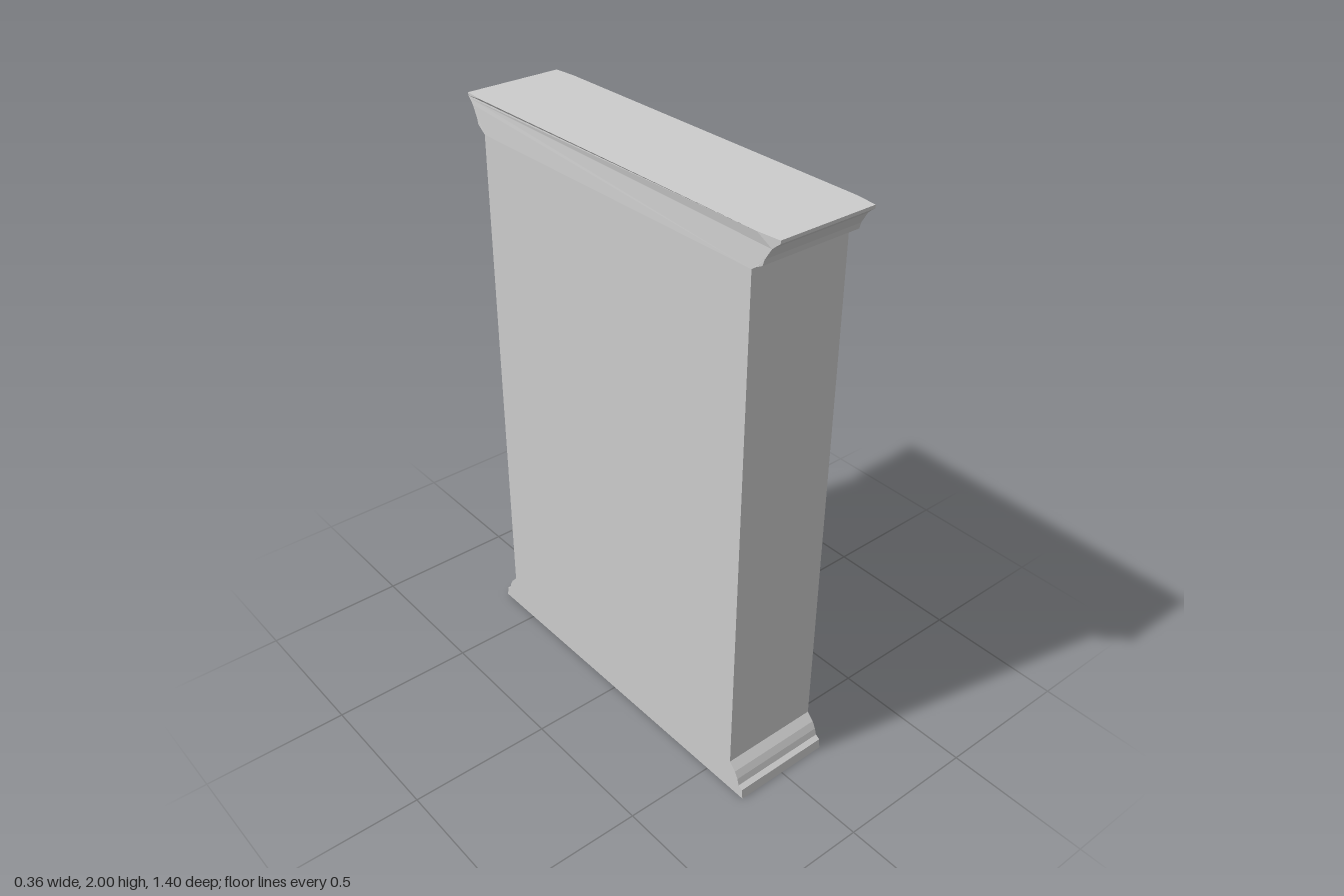
import * as THREE from 'three';
import { mergeGeometries } from 'three/addons/utils/BufferGeometryUtils.js';

const HALF = 0.178;        // half depth of the case, along x
const BACK = -0.10;        // inner face of the back panel
const OPEN = { z: 0.533, y0: 0.08, y1: 1.91 };

// Half profile from the floor up: base moulding, side, crown moulding
const PROFILE = [
  [0.672, 0], [0.668, 0.035], [0.652, 0.045], [0.645, 0.068], [0.632, 0.092], [0.607, 0.118],
  [0.607, 1.89], [0.62, 1.9], [0.644, 1.912], [0.65, 1.932], [0.664, 1.955], [0.672, 1.968],
  [0.69, 1.984], [0.698, 1.99], [0.698, 2], [0.62, 2],
];

// Band of quads along a closed loop, from depth w0 to w1
function wall(loop, w0, w1) {
  const pos = [];
  loop.forEach((a, i) => {
    const b = loop[(i + 1) % loop.length];
    pos.push(a.x, a.y, w0, b.x, b.y, w0, b.x, b.y, w1);
    pos.push(a.x, a.y, w0, b.x, b.y, w1, a.x, a.y, w1);
  });
  const g = new THREE.BufferGeometry();
  g.setAttribute('position', new THREE.Float32BufferAttribute(pos, 3));
  return g;
}

// Keep positions only, so that all pieces can be merged with flat normals
function bare(geometry) {
  const g = geometry.index ? geometry.toNonIndexed() : geometry;
  g.deleteAttribute('uv');
  g.deleteAttribute('normal');
  return g;
}

function caseGeometry() {
  const right = PROFILE.map(([u, y]) => new THREE.Vector2(u, y));
  const left = PROFILE.map(([u, y]) => new THREE.Vector2(-u, y)).reverse();
  const outline = [...right, ...left];
  const { z, y0, y1 } = OPEN;
  const hole = [[-z, y0], [-z, y1], [z, y1], [z, y0]].map(([u, y]) => new THREE.Vector2(u, y));

  const frontShape = new THREE.Shape(outline);
  frontShape.holes.push(new THREE.Path(hole));

  const g = mergeGeometries([
    wall(outline, -HALF, HALF),                                                   // outer sides
    wall(hole, BACK, HALF),                                                       // inner sides
    new THREE.ShapeGeometry(frontShape).translate(0, 0, HALF),                    // face frame
    new THREE.ShapeGeometry(new THREE.Shape(outline)).rotateY(Math.PI).translate(0, 0, -HALF), // back
    new THREE.PlaneGeometry(2 * z, y1 - y0).translate(0, (y0 + y1) / 2, BACK),    // inner back
  ].map(bare));

  // The crown narrows slightly towards its tips
  const p = g.attributes.position;
  for (let i = 0; i < p.count; i++) {
    const out = Math.abs(p.getX(i)) - 0.62;
    if (out > 0 && p.getY(i) > 1.88) p.setZ(i, p.getZ(i) * (1 - 0.55 * out));
  }
  g.rotateY(Math.PI / 2);
  g.computeVertexNormals();
  return g;
}

export function createModel() {
  const group = new THREE.Group();
  group.name = 'bookcase';
  const material = new THREE.MeshStandardMaterial({ color: 0xcccccc });

  const body = new THREE.Mesh(caseGeometry(), material);
  body.name = 'case';
  group.add(body);

  // Shelves, set back a little from the face frame
  const depth = 0.247, thickness = 0.052;
  [['lowerShelf', 1.23], ['upperShelf', 1.577]].forEach(([name, y]) => {
    const shelf = new THREE.Mesh(new THREE.BoxGeometry(depth, thickness, 2 * OPEN.z), material);
    shelf.name = name;
    shelf.position.set(BACK + depth / 2, y, 0);
    group.add(shelf);
  });
  return group;
}
